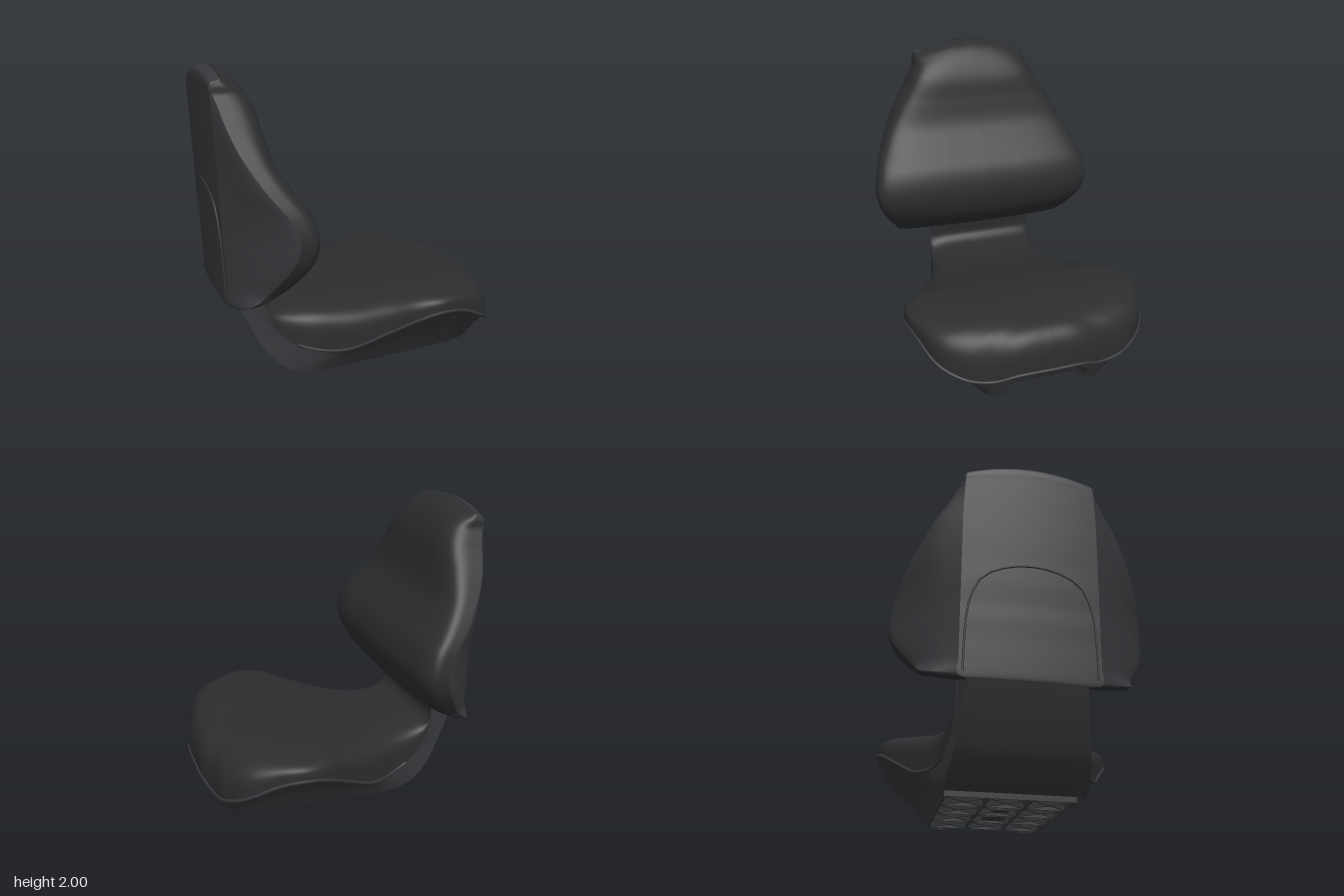
import * as THREE from 'three';

const { smoothstep, lerp } = THREE.MathUtils;
const padMat = new THREE.MeshStandardMaterial({ color: 0x2c2d2f, side: THREE.DoubleSide });
const shellMat = new THREE.MeshStandardMaterial({ color: 0x36373a, side: THREE.DoubleSide });

// Each station: centre of the pad [x, y], seam [x, y, half width], outer edge of the shell [x, y, half width]
const seatStations = [
  [-.62, .62, -.64, .62, .40, -.86, .62, .35],
  [-.63, .53, -.645, .50, .40, -.81, .50, .36],
  [-.58, .475, -.60, .36, .41, -.73, .33, .38],
  [-.47, .45, -.49, .24, .43, -.62, .15, .41],
  [-.35, .445, -.34, .18, .475, -.49, .045, .43],
  [-.15, .465, -.15, .19, .57, -.32, .006, .44],
  [.10, .53, .10, .32, .69, .06, .025, .44],
  [.30, .575, .28, .425, .785, .25, .037, .44],
  [.42, .583, .42, .46, .81, .40, .045, .44],
  [.53, .583, .58, .435, .77, .56, .055, .43],
  [.62, .578, .78, .335, .68, .74, .064, .41],
  [.67, .57, .88, .26, .53, .82, .068, .37],
  [.69, .568, .917, .235, .37, .85, .07, .30],
  [.70, .566, .957, .275, .21, .86, .07, .16],
  [.70, .566, .965, .28, 0, .86, .07, 0],
];
const backStations = [
  [-.86, .56, -.87, .56, 0, -.88, .55, 0],
  [-.74, .575, -.80, .58, .61, -.90, .54, .42],
  [-.56, .65, -.70, .66, .66, -.905, .64, .42],
  [-.43, .77, -.61, .79, .745, -.91, .78, .42],
  [-.375, .90, -.55, .90, .795, -.917, .90, .42],
  [-.365, 1.0, -.53, 1.0, .81, -.92, 1.0, .42],
  [-.40, 1.14, -.575, 1.14, .79, -.93, 1.14, .42],
  [-.50, 1.29, -.69, 1.29, .735, -.937, 1.29, .42],
  [-.585, 1.43, -.78, 1.43, .665, -.945, 1.43, .42],
  [-.63, 1.60, -.87, 1.60, .57, -.953, 1.60, .42],
  [-.66, 1.75, -.92, 1.75, .475, -.96, 1.75, .415],
  [-.72, 1.88, -.945, 1.88, .425, -.965, 1.88, .41],
  [-.79, 1.965, -.945, 1.955, .42, -.966, 1.94, .405],
  [-.86, 2.0, -.92, 1.985, .41, -.955, 1.975, .40],
  [-.895, 2.0, -.895, 2.0, .40, -.895, 2.0, .40],
];

// Three smooth guide curves through the stations
function guides(stations) {
  const curve = (pick) => new THREE.CatmullRomCurve3(
    stations.map((s) => new THREE.Vector3(...pick(s))), false, 'centripetal');
  return {
    top: curve((s) => [s[0], s[1], 0]),
    seam: curve((s) => [s[2], s[3], s[4]]),
    edge: curve((s) => [s[5], s[6], s[7]]),
  };
}

// Smooth surface from a rule fn(u, t) -> Vector3
function surface(name, mat, nu, nt, fn, warp) {
  const geo = new THREE.PlaneGeometry(1, 1, nu, nt);
  const pos = geo.attributes.position;
  for (let i = 0; i < pos.count; i++) {
    const p = warp(fn(pos.getX(i) + 0.5, pos.getY(i) + 0.5));
    pos.setXYZ(i, p.x, p.y, p.z);
  }
  geo.computeVertexNormals();
  const mesh = new THREE.Mesh(geo, mat);
  mesh.name = name;
  return mesh;
}

function tube(name, points, radius, mat) {
  const path = new THREE.CatmullRomCurve3(points);
  const mesh = new THREE.Mesh(new THREE.TubeGeometry(path, points.length * 2, radius, 8), mat);
  mesh.name = name;
  return mesh;
}

// Pad, two shell flanks and a rear or lower panel.
// roundness(t): pad corner softness; bulge: flank curvature; recess(t): depth of the panel between rims
function paddedShell(name, stations, { roundX, roundness, bulge, recess, piping, warp }) {
  const g = new THREE.Group();
  g.name = name;
  const { top, seam, edge } = guides(stations);
  const nt = 140;
  g.add(surface(name + 'Pad', padMat, 48, nt, (u, t) => {
    const a = (u - 0.5) * Math.PI, e = roundness(t);
    const s = Math.abs(Math.sin(a)) ** e;
    const fall = 1 - Math.max(0, Math.cos(a)) ** e;
    const T = top.getPoint(t), S = seam.getPoint(t);
    return new THREE.Vector3(
      lerp(T.x, S.x, roundX ? fall : s), lerp(T.y, S.y, roundX ? s : fall), Math.sign(a) * s * S.z);
  }, warp));

  const inner = (t) => {
    const E = edge.getPoint(t), T = top.getPoint(t), r = recess(t);
    return new THREE.Vector3(lerp(E.x, T.x, r), lerp(E.y, T.y, r), E.z * (r ? 0.97 : 1));
  };
  for (const side of [1, -1]) {
    const label = side > 0 ? 'Left' : 'Right';
    g.add(surface(name + 'Flank' + label, shellMat, 18, nt, (u, t) => {
      const S = seam.getPoint(t), E = edge.getPoint(t);
      return new THREE.Vector3(lerp(S.x, E.x, u), lerp(S.y, E.y, u), side * lerp(S.z, E.z, u ** bulge));
    }, warp));
    g.add(surface(name + 'Rim' + label, shellMat, 2, nt, (u, t) => {
      const p = edge.getPoint(t).lerp(inner(t), u);
      p.z *= side;
      return p;
    }, warp));
    if (piping) g.add(tube(name + 'Piping' + label, Array.from({ length: 60 }, (_, i) => {
      const p = seam.getPoint(lerp(0.24, 1, i / 59));
      p.z *= side;
      return warp(p);
    }), piping, shellMat));
  }
  g.add(surface(name + 'Panel', shellMat, 20, nt, (u, t) => {
    const p = inner(t);
    p.z *= 2 * u - 1;
    return p;
  }, warp));
  return g;
}

// Ribbed lattice with bushings under the base
function underRibs() {
  const g = new THREE.Group();
  g.name = 'underRibs';
  const h = 0.055;
  const rib = (x1, z1, x2, z2) => {
    const dx = x2 - x1, dz = z2 - z1;
    const m = new THREE.Mesh(new THREE.BoxGeometry(Math.hypot(dx, dz), h, 0.014), shellMat);
    m.position.set((x1 + x2) / 2, h / 2, (z1 + z2) / 2);
    m.rotation.y = -Math.atan2(dz, dx);
    m.name = 'rib';
    g.add(m);
  };
  const xs = [-0.54, -0.28, -0.02, 0.24, 0.5], zs = [-0.405, -0.135, 0.135, 0.405];
  xs.forEach((x) => rib(x, zs[0], x, zs[3]));
  zs.forEach((z) => rib(xs[0], z, xs[4], z));
  for (let i = 0; i < 4; i++) for (let j = 0; j < 3; j++) {
    rib(xs[i], zs[j], xs[i + 1], zs[j + 1]);
    rib(xs[i], zs[j + 1], xs[i + 1], zs[j]);
  }
  for (const [x, r] of [[-0.16, 0.06], [0.08, 0.085]]) {
    const m = new THREE.Mesh(new THREE.CylinderGeometry(r, r, h, 24, 1), shellMat);
    m.position.set(x, h / 2, 0);
    m.name = 'bushing';
    g.add(m);
  }
  g.position.set(0.25, 0.037, 0);
  g.rotation.z = 0.053;
  return g;
}

export function createModel() {
  const model = new THREE.Group();
  model.name = 'vehicleSeat';

  // Seat with its curved base; a rounded hand pocket is pressed into the front
  model.add(paddedShell('seat', seatStations, {
    roundX: false,
    roundness: (t) => lerp(0.4, 0.62, smoothstep(t, 0.62, 0.82)),
    bulge: 0.72,
    recess: (t) => 0.12 * smoothstep(t, 0.32, 0.38),
    piping: 0.011,
    warp: (p) => {
      const d = (p.z / 0.28) ** 4 + (Math.max(0, p.y - 0.06) / 0.175) ** 4;
      p.x -= 0.1 * smoothstep(p.x, 0.76, 0.84) * (1 - smoothstep(d, 0.5, 1));
      return p;
    },
  }));
  model.add(underRibs());

  // Backrest with an arched upper edge and a slightly bowed rear
  model.add(paddedShell('backrest', backStations, {
    roundX: true,
    roundness: () => 0.38,
    bulge: 1.35,
    recess: () => 0,
    piping: 0,
    warp: (p) => {
      p.y -= 0.07 * (p.z / 0.42) ** 2 * smoothstep(p.y, 1.75, 2.0);
      p.x += 0.018 * Math.min(1, (p.z / 0.42) ** 2) * (1 - smoothstep(p.x, -0.95, -0.8));
      return p;
    },
  }));

  // Arched trim line on the rear panel
  const arch = [[.56, .395], [.8, .39], [1.0, .37], [1.16, .3], [1.24, .15]];
  const trim = [...arch, [1.26, 0], ...arch.map(([y, z]) => [y, -z]).reverse()];
  model.add(tube('rearTrim', trim.map(([y, z]) =>
    new THREE.Vector3(-0.9 - 0.05 * (y - 0.54) + 0.06 * z * z, y, z)), 0.007, shellMat));
  return model;
}
